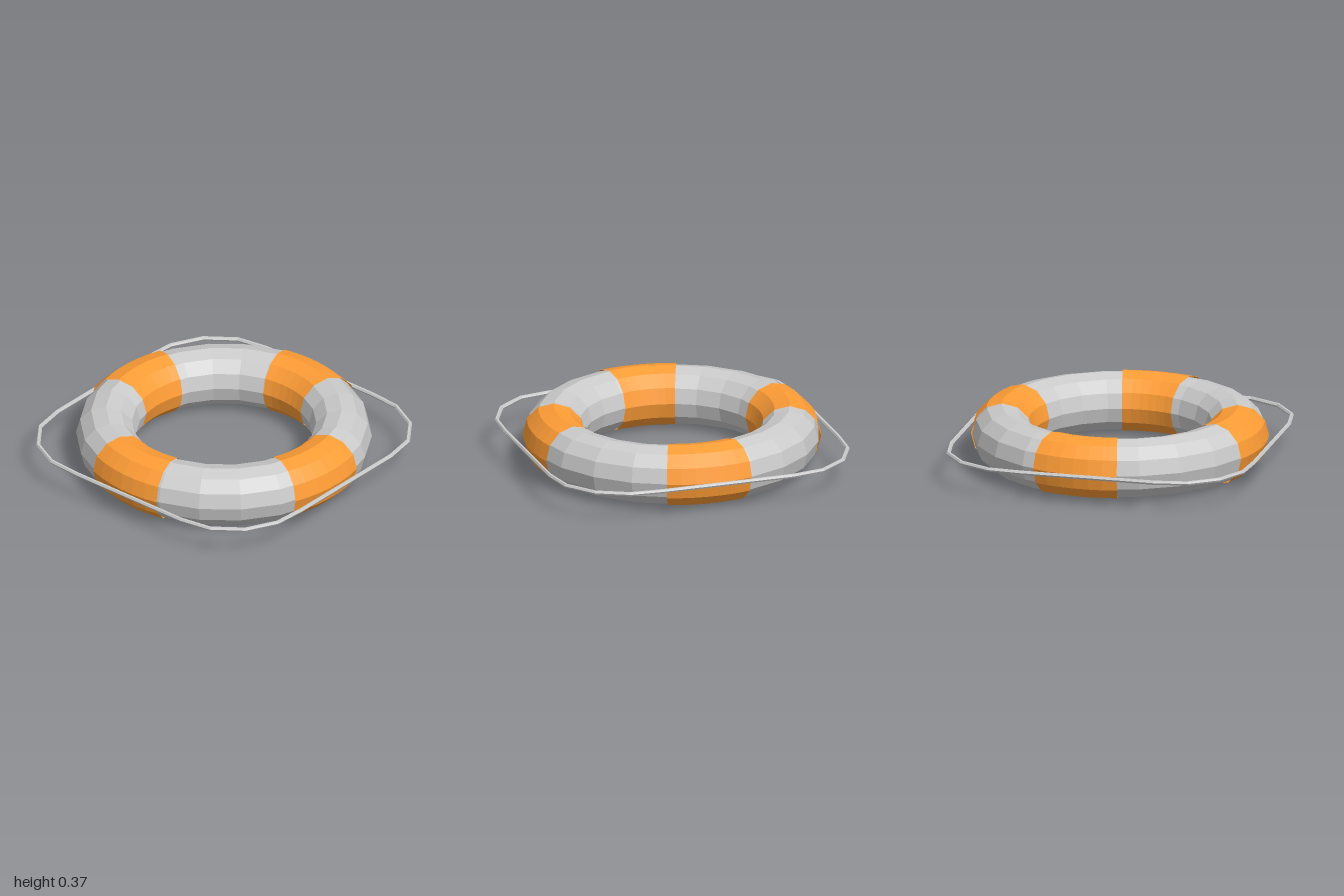
import * as THREE from 'three';

const RING = 0.697;      // radius of the ring's centre line
const TUBE = 0.177;      // radius of the float body
const BAND = 0.184;      // radius of the wrapped bands
const ROPE = 0.013;

// Torus lying flat, angle running from +x towards +z
function flatTorus(tube, segments, arc = Math.PI * 2) {
  return new THREE.TorusGeometry(RING, tube, 12, segments, arc).rotateX(Math.PI / 2);
}

// Closed rope through the points (x, z), mitred at each corner
function ropeGeometry(points, radius, sides) {
  const n = points.length;
  const geo = new THREE.TorusGeometry(1, 0.1, sides, n);
  const pos = geo.attributes.position;
  for (let j = 0; j <= sides; j++) {
    const v = (j / sides) * Math.PI * 2;
    for (let i = 0; i <= n; i++) {
      const p = points[i % n];
      const before = p.clone().sub(points[(i + n - 1) % n]).normalize();
      const after = points[(i + 1) % n].clone().sub(p).normalize();
      const along = before.clone().add(after).normalize();
      const out = (radius * Math.cos(v)) / along.dot(after);
      pos.setXYZ(j * (n + 1) + i, p.x + along.y * out, -radius * Math.sin(v), p.y - along.x * out);
    }
  }
  geo.computeVertexNormals();
  return geo;
}

export function createModel() {
  const model = new THREE.Group();
  model.name = 'lifebuoy';
  const grey = new THREE.MeshStandardMaterial({ color: 0xcccccc, flatShading: true });
  const orange = new THREE.MeshStandardMaterial({
    color: 0xff9d36, flatShading: true, side: THREE.DoubleSide,
  });

  const add = (name, geometry, material) => {
    const mesh = new THREE.Mesh(geometry, material);
    mesh.name = name;
    mesh.position.y = BAND;
    model.add(mesh);
    return mesh;
  };

  // Float body
  add('floatRing', flatTorus(TUBE, 22), grey);

  // Four bands wrapped around the float
  const arc = 0.6;
  const centre = THREE.MathUtils.degToRad(-6.5);
  for (let k = 0; k < 4; k++) {
    const band = add('band' + (k + 1), flatTorus(BAND, 6, arc), orange);
    band.rotation.y = -(centre - arc / 2 + (k * Math.PI) / 2);
  }

  // Grab rope: one quarter of the loop, turned four times
  const quarter = [[0.2, -0.965], [0.4, -0.987], [0.6, -0.928], [0.752, -0.787], [0.82, -0.6]];
  const points = [];
  for (let k = 0; k < 4; k++) {
    for (const [x, z] of quarter) {
      points.push(new THREE.Vector2(x, z).rotateAround(new THREE.Vector2(), (k * Math.PI) / 2));
    }
  }
  add('grabRope', ropeGeometry(points, ROPE, 6), grey);

  return model;
}
